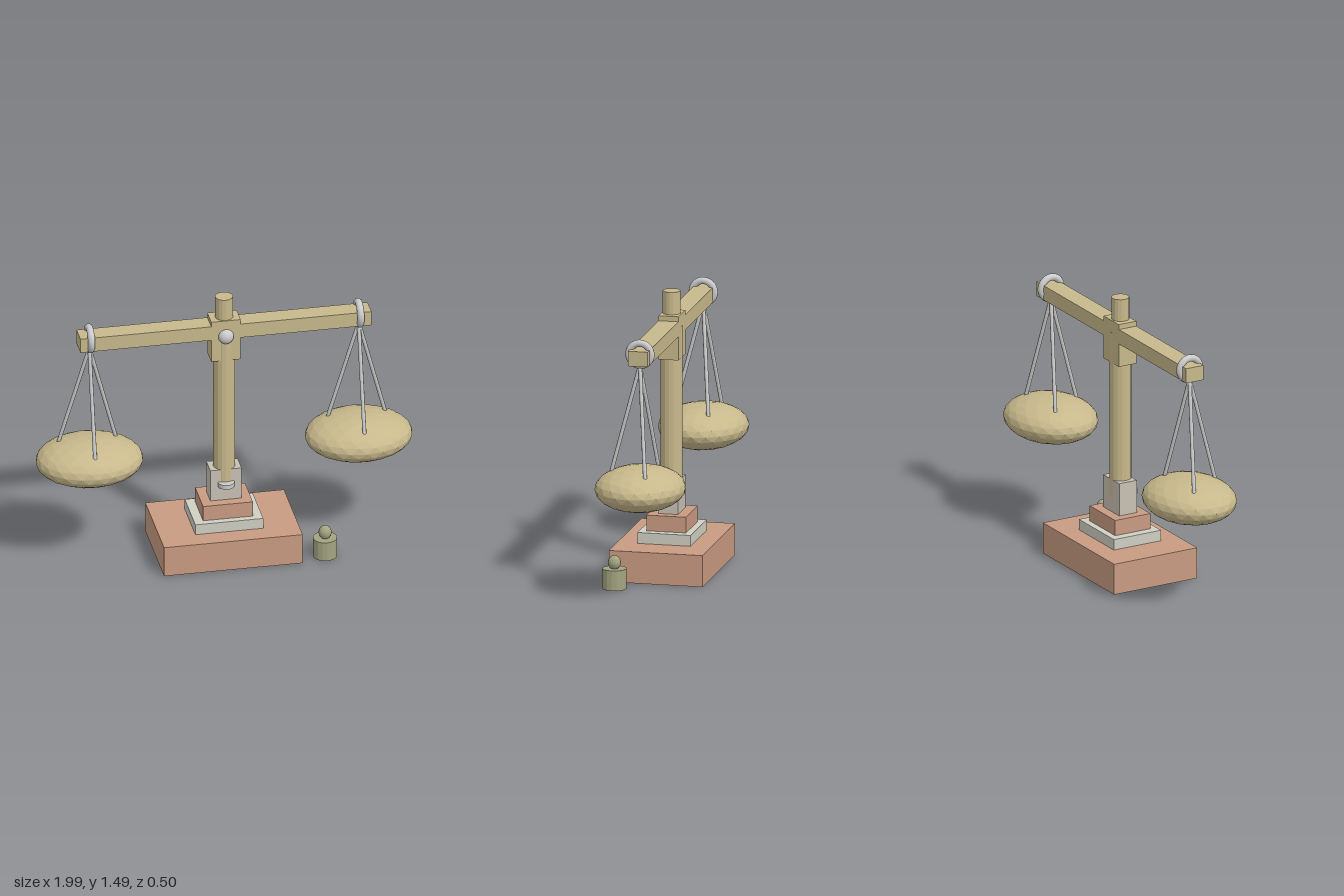
import * as THREE from 'three';

const mat = (color, flatShading = false) => new THREE.MeshStandardMaterial({ color, flatShading });
const wood = mat(0xc8b98c, true);
const brick = mat(0xc99b82);
const stone = mat(0xd0cfc4);
const socketStone = mat(0xc8c0b4);
const metal = mat(0xcccccc);
const brass = mat(0xa3a481, true);

export function createModel() {
  const root = new THREE.Group();

  const add = (name, geometry, material, x, y, z, parent = root) => {
    const mesh = new THREE.Mesh(geometry, material);
    mesh.name = name;
    mesh.position.set(x, y, z);
    parent.add(mesh);
    return mesh;
  };
  // Box given by width, bottom, top and depth, centred on the stand's axis
  const block = (name, w, y0, y1, d, material) =>
    add(name, new THREE.BoxGeometry(w, y1 - y0, d), material, 0, (y0 + y1) / 2, -0.002);
  const post = (name, r, y0, y1, material, x = 0, z = 0) =>
    add(name, new THREE.CylinderGeometry(r, r, y1 - y0, 16), material, x, (y0 + y1) / 2, z);

  // Stepped base
  block('base', 0.735, 0, 0.168, 0.5, brick);
  block('lowerStep', 0.36, 0.168, 0.226, 0.284, stone);
  block('upperStep', 0.264, 0.226, 0.31, 0.212, brick);
  block('columnSocket', 0.166, 0.31, 0.488, 0.106, socketStone);
  add('socketDisc', new THREE.CylinderGeometry(0.043, 0.043, 0.024, 24), metal, 0, 0.405, 0.055);

  // Column, hub and beam; the column bulges slightly through hub and socket
  post('column', 0.058, 0.39, 1.3, wood);
  block('hub', 0.156, 1.133, 1.367, 0.106, wood);
  post('finial', 0.047, 1.36, 1.487, wood);
  block('beam', 1.543, 1.26, 1.34, 0.105, wood);
  add('pivotKnob', new THREE.SphereGeometry(0.041, 24, 16), metal, 0, 1.275, 0.05).scale.z = 0.8;

  // Pan: faceted ellipsoid turned so that one corner points up
  const panGeometry = new THREE.IcosahedronGeometry(1, 3);
  panGeometry.rotateZ(-Math.atan(2 / (1 + Math.sqrt(5))));
  panGeometry.scale(0.283, 0.116, 0.236);

  const ringGeometry = new THREE.TorusGeometry(0.059, 0.019, 12, 32).rotateY(Math.PI / 2);
  const hook = new THREE.Vector3(0, 1.255, 0);
  const rodEnds = [[0, 0.155], [-0.155, -0.064], [0.155, -0.064]];

  for (const side of [-1, 1]) {
    const hanger = new THREE.Group();
    hanger.name = side > 0 ? 'leftHanger' : 'rightHanger';
    hanger.position.x = side * 0.714;
    root.add(hanger);

    add('ring', ringGeometry, metal, 0, 1.313, 0, hanger);
    add('pan', panGeometry, wood, 0, 0.597, -0.002, hanger);
    for (const [x, z] of rodEnds) {
      const path = new THREE.LineCurve3(hook, new THREE.Vector3(x, 0.67, z));
      add('rod', new THREE.TubeGeometry(path, 1, 0.0105, 8), metal, 0, 0, 0, hanger);
    }
  }

  // Loose weight standing beside the base
  post('weight', 0.064, 0, 0.107, brass, 0.498, 0.188);
  add('weightKnob', new THREE.SphereGeometry(0.034, 16, 12), brass, 0.498, 0.138, 0.188).scale.y = 1.12;

  return root;
}
